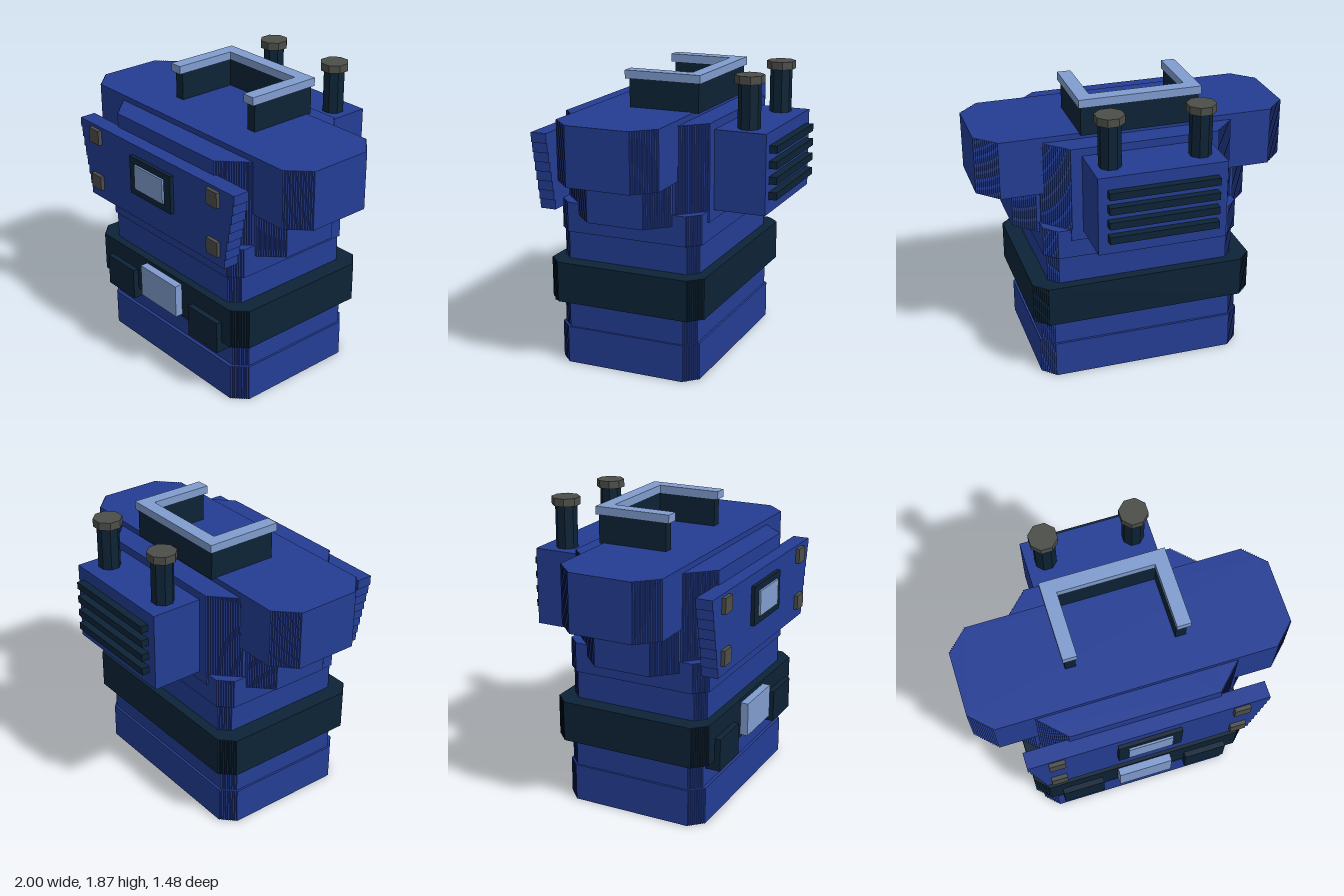
import * as THREE from 'three';

const mat = (name, color) => Object.assign(new THREE.MeshStandardMaterial({ color }), { name });

export function createModel() {
  const blue = mat('armour blue', 0x243d94);
  const navy = mat('dark navy', 0x0d2336);
  const light = mat('pale blue', 0x809dcf);
  const grey = mat('bolt grey', 0x4c4e49);
  const STEP = 0.0104;

  const model = new THREE.Group();
  model.name = 'armouredTorso';

  function add(name, geometry, material) {
    const mesh = new THREE.Mesh(geometry, material);
    mesh.name = name;
    model.add(mesh);
    return mesh;
  }

  // box given by its limits on each axis
  function box(name, material, x0, x1, y0, y1, z0, z1) {
    const g = new THREE.BoxGeometry(x1 - x0, y1 - y0, z1 - z0);
    g.translate((x0 + x1) / 2, (y0 + y1) / 2, (z0 + z1) / 2);
    return add(name, g, material);
  }

  // upright extrusion of an outline given as [x, z] points
  function prism(name, material, points, y0, y1) {
    const shape = new THREE.Shape(points.map(([x, z]) => new THREE.Vector2(x, -z)));
    const g = new THREE.ExtrudeGeometry(shape, { depth: y1 - y0, bevelEnabled: false });
    g.rotateX(-Math.PI / 2).translate(0, y0, 0);
    return add(name, g, material);
  }

  // slab whose corners are cut by a fine staircase
  function slab(name, material, w, z0, z1, y0, y1, cut) {
    const n = Math.max(1, Math.round(cut / STEP));
    const s = cut / n, zc = (z0 + z1) / 2, d = (z1 - z0) / 2;
    const corner = [];
    for (let i = 0; i < n; i++) {
      corner.push([w - i * s, d - cut + i * s], [w - (i + 1) * s, d - cut + i * s]);
    }
    corner.push([w - cut, d]);
    const back = [...corner].reverse();
    const pts = [
      ...corner,
      ...back.map(([x, z]) => [-x, z]),
      ...corner.map(([x, z]) => [-x, -z]),
      ...back.map(([x, z]) => [x, -z]),
    ].map(([x, z]) => [x, z + zc]);
    return prism(name, material, pts, y0, y1);
  }

  // stacked torso
  slab('base', blue, 0.675, -0.35, 0.6, 0, 0.24, 0.08);
  slab('hips', blue, 0.662, -0.335, 0.58, 0.24, 0.42, 0.07);
  slab('belt', navy, 0.722, -0.4, 0.64, 0.42, 0.68, 0.08);
  slab('waist', blue, 0.615, -0.335, 0.587, 0.68, 0.86, 0.06);
  slab('ribs', blue, 0.635, -0.35, 0.6, 0.86, 1.05, 0.075);
  slab('chest', blue, 0.625, -0.36, 0.61, 1.05, 1.59, 0.155);
  box('chestLip', blue, -0.475, 0.475, 0.98, 1.06, -0.36, 0.61);
  slab('underarms', blue, 0.775, -0.185, 0.44, 0.98, 1.26, 0.125);
  slab('shoulders', blue, 1, -0.215, 0.45, 1.255, 1.625, 0.125);

  // stepped, tapering breastplate
  const plate = [];
  const rows = 8;
  for (let i = 0; i < rows; i++) {
    const x = 0.662 + (0.088 * i) / (rows - 1);
    plate.push([x, 1 + (0.5 * i) / rows], [x, 1 + (0.5 * (i + 1)) / rows]);
  }
  const outline = [...plate, ...[...plate].reverse().map(([x, y]) => [-x, y])];
  const plateGeo = new THREE.ExtrudeGeometry(
    new THREE.Shape(outline.map(([x, y]) => new THREE.Vector2(x, y))),
    { depth: 0.105, bevelEnabled: false });
  add('breastplate', plateGeo.translate(0, 0, 0.595), blue);

  // chest display
  box('displayFrame', navy, -0.2, 0.2, 1.18, 1.43, 0.7, 0.725);
  box('displayScreen', light, -0.138, 0.138, 1.23, 1.39, 0.72, 0.738);

  // belt fittings
  box('buckle', light, -0.177, 0.177, 0.438, 0.655, 0.63, 0.69);

  for (const s of [-1, 1]) {
    const sided = (name, m, xc, half, ...rest) => box(name, m, s * xc - half, s * xc + half, ...rest);
    sided('pouch', navy, 0.42, 0.138, 0.355, 0.565, 0.57, 0.677);
    sided('upperBolt', grey, 0.575, 0.05, 1.383, 1.48, 0.7, 0.725);
    sided('lowerBolt', grey, 0.575, 0.05, 1.067, 1.163, 0.7, 0.725);

    // exhaust stack
    const tube = (r, y0, y1) => new THREE.CylinderGeometry(r, r, y1 - y0, 8)
      .rotateY(Math.PI / 8).translate(s * 0.281, (y0 + y1) / 2, -0.535);
    add('exhaustPipe', tube(0.07, 1.53, 1.815).toNonIndexed(), navy).geometry.computeVertexNormals();
    add('exhaustCap', tube(0.091, 1.815, 1.865).toNonIndexed(), grey).geometry.computeVertexNormals();
  }

  // neck guard, open at the front
  const uShape = (w, t, z0, z1) => [
    [-w, z1], [-w + t, z1], [-w + t, z0 + t], [w - t, z0 + t],
    [w - t, z1], [w, z1], [w, z0], [-w, z0],
  ];
  prism('neckGuard', navy, uShape(0.373, 0.066, -0.245, 0.215), 1.62, 1.805);
  prism('neckTrim', light, uShape(0.387, 0.087, -0.26, 0.24), 1.803, 1.855);

  // backpack with vents
  box('backpack', blue, -0.405, 0.4, 1.04, 1.54, -0.688, -0.33);
  for (let i = 0; i < 4; i++) {
    const y = 1.128 + i * 0.0955;
    box('vent', navy, -0.343, 0.343, y, y + 0.046, -0.738, -0.68);
  }

  return model;
}
